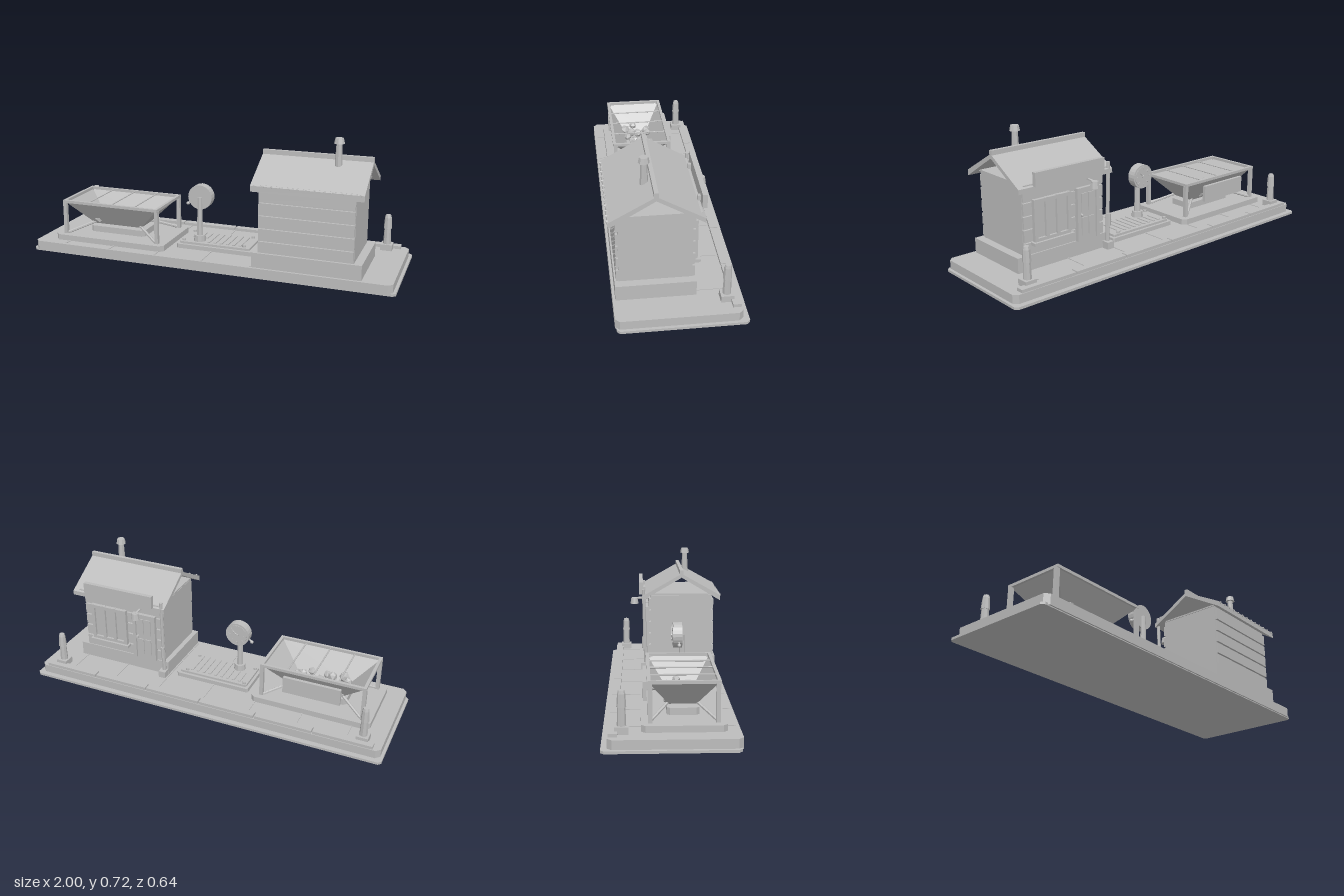
import * as THREE from 'three';

const grey = new THREE.MeshStandardMaterial({ color: 0xbcbcbc });
grey.name = 'plain grey';
grey.flatShading = true;
const greyOpen = new THREE.MeshStandardMaterial({ color: 0xbcbcbc, side: THREE.DoubleSide });
greyOpen.name = 'plain grey sheet';
greyOpen.flatShading = true;

export function createModel() {
  const model = new THREE.Group();
  let parent = model;
  const group = (name) => {
    parent = new THREE.Group();
    parent.name = name;
    model.add(parent);
  };
  const add = (name, geo, mat = grey) => {
    const m = new THREE.Mesh(geo, mat);
    m.name = name;
    parent.add(m);
    return m;
  };
  // Box given by its limits
  const box = (name, x0, x1, y0, y1, z0, z1) => {
    const m = add(name, new THREE.BoxGeometry(x1 - x0, y1 - y0, z1 - z0));
    m.position.set((x0 + x1) / 2, (y0 + y1) / 2, (z0 + z1) / 2);
    return m;
  };
  // Slab with cut corners
  const slab = (name, x0, x1, y0, y1, z0, z1, c) => {
    const s = new THREE.Shape([
      [x0 + c, -z1], [x1 - c, -z1], [x1, -z1 + c], [x1, -z0 - c],
      [x1 - c, -z0], [x0 + c, -z0], [x0, -z0 - c], [x0, -z1 + c],
    ].map((p) => new THREE.Vector2(...p)));
    const g = new THREE.ExtrudeGeometry(s, { depth: y1 - y0, bevelEnabled: false });
    g.rotateX(-Math.PI / 2).translate(0, y0, 0);
    return add(name, g);
  };
  // Tapered rod between two points
  const rod = (name, a, b, r0, r1 = r0, sides = 8) => {
    const A = new THREE.Vector3(...a), B = new THREE.Vector3(...b);
    const m = add(name, new THREE.CylinderGeometry(r1, r0, A.distanceTo(B), sides));
    m.position.copy(A).add(B).multiplyScalar(0.5);
    m.quaternion.setFromUnitVectors(new THREE.Vector3(0, 1, 0), B.sub(A).normalize());
    return m;
  };

  // Platform, paving seams and back kerb
  group('platform');
  slab('lowerSlab', -1, 1, 0, 0.013, -0.316, 0.298, 0.015);
  slab('deck', -0.985, 0.985, 0.005, 0.057, -0.288, 0.305, 0.022);
  for (let i = -3; i <= 3; i++) box('pavingSeam', i * 0.266 - 0.004, i * 0.266 + 0.004, 0.055, 0.06, -0.24, 0.29);
  for (let i = 0; i < 6; i++) {
    const x = -0.945 + i * 0.3158;
    box('kerbStone', x, x + 0.309, 0.055, 0.073, -0.284, -0.243);
  }

  // Corner posts
  group('cornerPosts');
  for (const x of [-0.882, 0.872]) {
    box('postBase', x - 0.031, x + 0.031, 0.055, 0.09, -0.256, -0.194);
    rod('postShaft', [x, 0.09, -0.225], [x, 0.178, -0.225], 0.021, 0.018);
    rod('postCollar', [x, 0.175, -0.225], [x, 0.235, -0.225], 0.022, 0.018);
    rod('postTip', [x, 0.235, -0.225], [x, 0.25, -0.225], 0.018, 0.014);
  }

  // Coal hopper: tapered bin from two rectangles
  group('hopper');
  slab('hopperPlinth', -0.89, -0.24, 0.055, 0.088, -0.14, 0.245, 0.02);
  slab('hopperFoot', -0.73, -0.4, 0.085, 0.122, -0.02, 0.13, 0.015);
  const hx = -0.565, hz = 0.053;
  const ring = (w, d, y) => [[-w, d], [w, d], [w, -d], [-w, -d]].map(([x, z]) => [hx + x, y, hz + z]);
  const top = ring(0.278, 0.158, 0.272), low = ring(0.142, 0.065, 0.135);
  const verts = [];
  const quad = (a, b, c, d) => verts.push(...a, ...b, ...c, ...a, ...c, ...d);
  for (let i = 0; i < 4; i++) quad(low[i], low[(i + 1) % 4], top[(i + 1) % 4], top[i]);
  quad(low[3], low[2], low[1], low[0]);
  const bin = new THREE.BufferGeometry();
  bin.setAttribute('position', new THREE.Float32BufferAttribute(verts, 3));
  bin.computeVertexNormals();
  add('hopperBin', bin, greyOpen);
  for (const s of [-1, 1]) {
    const x = hx + s * 0.276, z = hz + s * 0.157;
    box('sideRim', x - 0.008, x + 0.008, 0.265, 0.28, hz - 0.165, hz + 0.165);
    box('longRim', hx - 0.284, hx + 0.284, 0.265, 0.28, z - 0.008, z + 0.008);
    for (const t of [-1, 1]) {
      const lz = hz + t * 0.152;
      box('hopperLeg', x - 0.01, x + 0.01, 0.085, 0.268, lz - 0.01, lz + 0.01);
      rod('hopperBrace', [x - s * 0.01, 0.092, lz], [hx + s * 0.13, 0.148, hz + t * 0.06], 0.008, 0.008, 6);
    }
  }
  for (const x of [-0.702, -0.565, -0.428]) rod('crossBar', [x, 0.272, hz - 0.158], [x, 0.272, hz + 0.158], 0.004, 0.004, 6);
  box('hopperBoard', -0.725, -0.415, 0.155, 0.245, -0.13, -0.112);
  // Lumps as x, z, radius
  [[-0.70, -0.015, 0.022], [-0.655, -0.005, 0.027], [-0.61, -0.01, 0.022], [-0.57, 0.02, 0.022],
    [-0.495, -0.012, 0.028], [-0.437, 0.035, 0.022], [-0.65, 0.045, 0.028], [-0.677, 0.12, 0.03],
    [-0.62, 0.085, 0.027], [-0.56, 0.067, 0.024], [-0.53, 0.045, 0.022], [-0.505, 0.09, 0.022],
    [-0.455, 0.093, 0.022], [-0.585, 0.11, 0.022], [-0.71, 0.07, 0.022]].forEach(([x, z, r], i) => {
    const lump = add('coalLump', new THREE.IcosahedronGeometry(r, 0));
    lump.position.set(x, 0.155 + (i % 3) * 0.012, z);
    lump.rotation.set(i, i * 1.7, 0);
  });

  // Weighing platform with dial
  group('weighingScale');
  slab('scaleBase', -0.2, 0.225, 0.055, 0.08, -0.08, 0.145, 0.008);
  slab('scalePlate', -0.185, 0.208, 0.078, 0.092, -0.065, 0.13, 0.006);
  for (let i = 0; i < 9; i++) {
    const x = -0.135 + i * 0.0355;
    box('plateRib', x - 0.007, x + 0.007, 0.09, 0.097, -0.045, i < 3 ? 0.045 : 0.11);
  }
  for (const x of [-0.17, 0.172]) for (const z of [-0.05, 0.107]) rod('plateBolt', [x, 0.09, z], [x, 0.103, z], 0.01);
  rod('columnFoot', [-0.088, 0.09, 0.082], [-0.088, 0.125, 0.082], 0.033, 0.03, 10);
  rod('column', [-0.088, 0.12, 0.082], [-0.088, 0.335, 0.082], 0.018, 0.013);
  rod('dialCase', [-0.088, 0.333, 0.082], [-0.088, 0.333, 0.035], 0.067, 0.067, 24);
  rod('dialFace', [-0.088, 0.333, 0.036], [-0.088, 0.333, 0.032], 0.057, 0.057, 24);
  for (let i = 0; i < 8; i++) {
    const a = i * Math.PI / 4;
    const t = box('dialTick', -0.003, 0.003, -0.007, 0.007, -0.002, 0.002);
    t.position.set(-0.088 + Math.sin(a) * 0.045, 0.333 + Math.cos(a) * 0.045, 0.031);
    t.rotation.z = -a;
  }
  rod('dialNeedle', [-0.088, 0.333, 0.03], [-0.062, 0.36, 0.03], 0.004, 0.002, 6);
  rod('dialHub', [-0.088, 0.333, 0.034], [-0.088, 0.333, 0.025], 0.009);
  rod('dialLever', [-0.13, 0.315, 0.065], [-0.163, 0.29, 0.065], 0.005, 0.005, 6);
  add('leverKnob', new THREE.IcosahedronGeometry(0.01, 1)).position.set(-0.163, 0.29, 0.065);

  // Hut walls
  group('hut');
  box('foundation', 0.272, 0.832, 0.055, 0.135, -0.09, 0.292);
  box('walls', 0.3, 0.79, 0.13, 0.485, -0.075, 0.272);
  for (let i = 0; i < 5; i++) {
    const y = 0.137 + i * 0.067;
    box('frontPlank', 0.304, 0.788, y, y + 0.058, 0.27, 0.284);
    box('backPlank', 0.304, 0.788, y, y + 0.058, -0.087, -0.073);
  }
  box('ceilingPlate', 0.3, 0.8, 0.487, 0.495, -0.115, 0.31);

  // Gabled roof with ridge, rivets and chimney
  const gable = new THREE.Shape([[-0.318, 0.46], [-0.1, 0.59], [0.125, 0.46], [0.125, 0.484],
    [-0.1, 0.612], [-0.318, 0.49]].map((p) => new THREE.Vector2(...p)));
  const roof = new THREE.ExtrudeGeometry(gable, { depth: 0.565, bevelEnabled: false });
  roof.rotateY(Math.PI / 2).translate(0.27, 0, 0);
  add('roof', roof);
  box('ridgeCap', 0.27, 0.835, 0.6, 0.63, 0.09, 0.11);
  for (let i = 0; i < 13; i++) {
    const x = 0.29 + i * 0.0438;
    rod('roofRivet', [x, 0.488, 0.31], [x, 0.488, 0.323], 0.006, 0.006, 6);
  }
  rod('chimney', [0.668, 0.575, 0.138], [0.668, 0.7, 0.138], 0.02, 0.015);
  rod('chimneyCap', [0.668, 0.694, 0.138], [0.668, 0.722, 0.138], 0.027, 0.021);

  // Window
  box('windowPane', 0.535, 0.735, 0.205, 0.4, -0.094, -0.08);
  for (const x of [0.53, 0.597, 0.663, 0.73]) box('windowUpright', x - 0.009, x + 0.009, 0.2, 0.41, -0.107, -0.085);
  for (const y of [0.205, 0.4]) box('windowRail', 0.521, 0.739, y - 0.009, y + 0.009, -0.107, -0.085);
  box('windowSill', 0.51, 0.75, 0.182, 0.198, -0.12, -0.085);

  // Door
  box('door', 0.355, 0.465, 0.135, 0.395, -0.096, -0.08);
  for (const x of [0.35, 0.47]) box('doorJamb', x - 0.009, x + 0.009, 0.135, 0.41, -0.107, -0.08);
  box('doorHead', 0.341, 0.479, 0.395, 0.412, -0.107, -0.08);
  for (const y of [0.16, 0.285]) for (const x of [0.372, 0.416]) box('doorPanel', x, x + 0.033, y, y + 0.095, -0.102, -0.09);
  rod('doorKnob', [0.452, 0.27, -0.09], [0.452, 0.27, -0.117], 0.007);

  // Sign board, corner pole and lamp
  box('signBoard', 0.335, 0.752, 0.485, 0.555, -0.143, -0.12);
  for (const x of [0.4, 0.69]) box('signBracket', x - 0.01, x + 0.01, 0.47, 0.52, -0.122, -0.105);
  box('poleBase', 0.272, 0.312, 0.055, 0.095, -0.135, -0.094);
  rod('pole', [0.29, 0.09, -0.105], [0.29, 0.52, -0.118], 0.011, 0.009);
  rod('poleSleeve', [0.29, 0.18, -0.115], [0.29, 0.245, -0.116], 0.012);
  rod('lampArm', [0.42, 0.458, -0.08], [0.42, 0.45, -0.17], 0.007, 0.007, 6);
  rod('lampShade', [0.42, 0.42, -0.17], [0.42, 0.455, -0.17], 0.024, 0.018, 10);

  return model;
}
